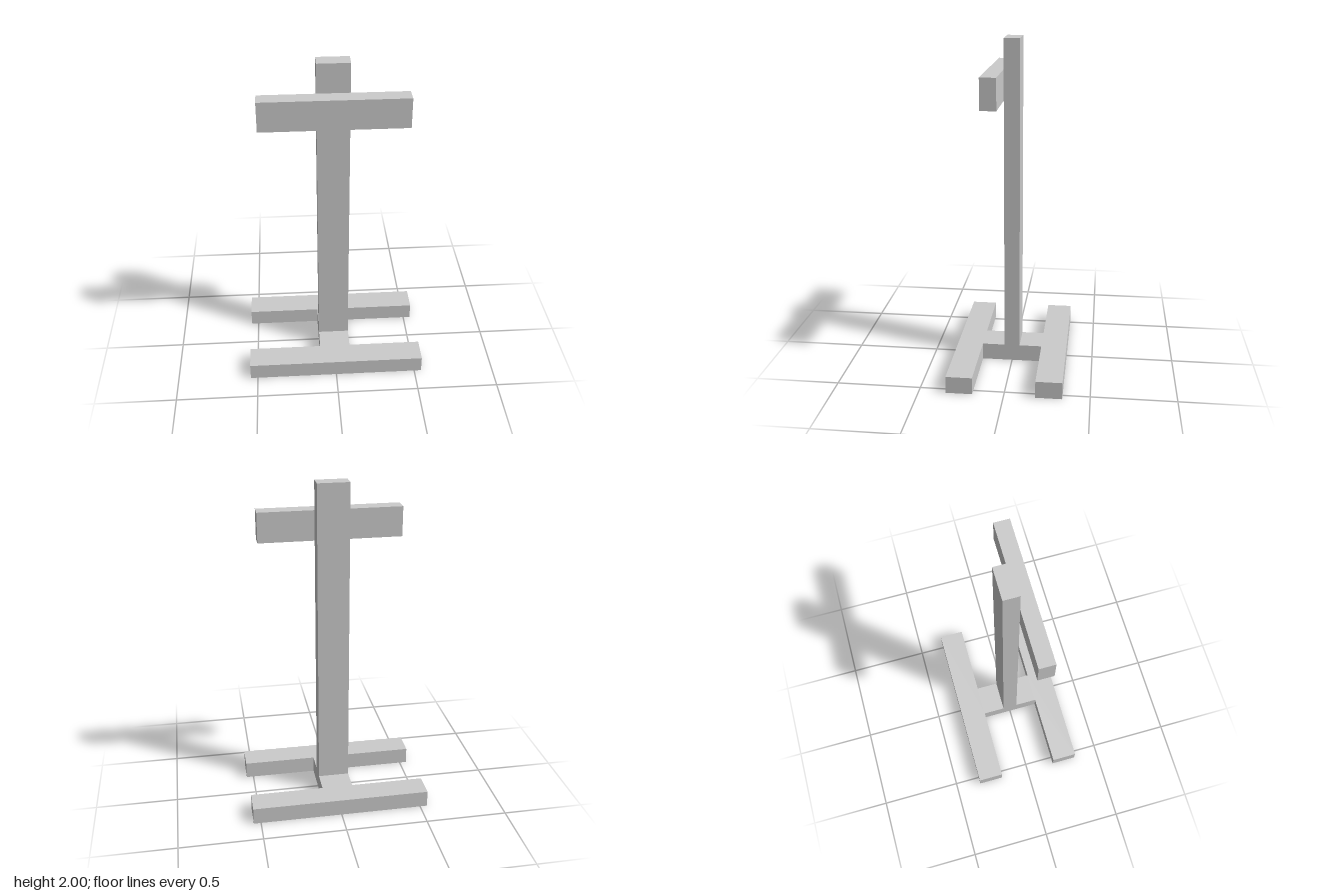
import * as THREE from 'three';

const BASE_H = 0.103;   // height of the hollow foot
const POST_D = 0.047;   // half depth of the post

export function createModel() {
  const model = new THREE.Group();
  const grey = new THREE.MeshStandardMaterial({ color: 0xcccccc });
  const shell = new THREE.MeshStandardMaterial({ color: 0xcccccc, side: THREE.DoubleSide });

  // box given by its lower and upper corners
  function addBox(name, [x0, y0, z0], [x1, y1, z1]) {
    const mesh = new THREE.Mesh(new THREE.BoxGeometry(x1 - x0, y1 - y0, z1 - z0), grey);
    mesh.position.set((x0 + x1) / 2, (y0 + y1) / 2, (z0 + z1) / 2);
    mesh.name = name;
    model.add(mesh);
  }

  // upright post and the crossbar fixed to its front
  addBox('post', [-0.095, BASE_H, -POST_D], [0.095, 2, POST_D]);
  addBox('crossbar', [-0.427, 1.645, POST_D], [0.427, 1.825, 0.14]);

  // H-shaped foot: thin shell, open underneath
  const base = new THREE.Group();
  base.name = 'base';
  model.add(base);

  const X = 0.544, Z = 0.34, x = 0.095, z = 0.184;
  const outline = [
    [-X, -Z], [X, -Z], [X, -z], [x, -z], [x, z], [X, z],
    [X, Z], [-X, Z], [-X, z], [-x, z], [-x, -z], [-X, -z],
  ].map(([a, b]) => new THREE.Vector2(a, b));

  const top = new THREE.Mesh(new THREE.ShapeGeometry(new THREE.Shape(outline)), shell);
  top.name = 'baseTop';
  top.rotation.x = -Math.PI / 2;
  top.position.y = BASE_H;
  base.add(top);

  // one wall per side of the outline, facing outwards
  outline.forEach((a, i) => {
    const b = outline[(i + 1) % outline.length];
    const wall = new THREE.Mesh(new THREE.PlaneGeometry(a.distanceTo(b), BASE_H), shell);
    wall.name = 'baseWall';
    wall.position.set((a.x + b.x) / 2, BASE_H / 2, -(a.y + b.y) / 2);
    wall.rotation.y = Math.atan2(b.y - a.y, b.x - a.x);
    base.add(wall);
  });

  return model;
}
